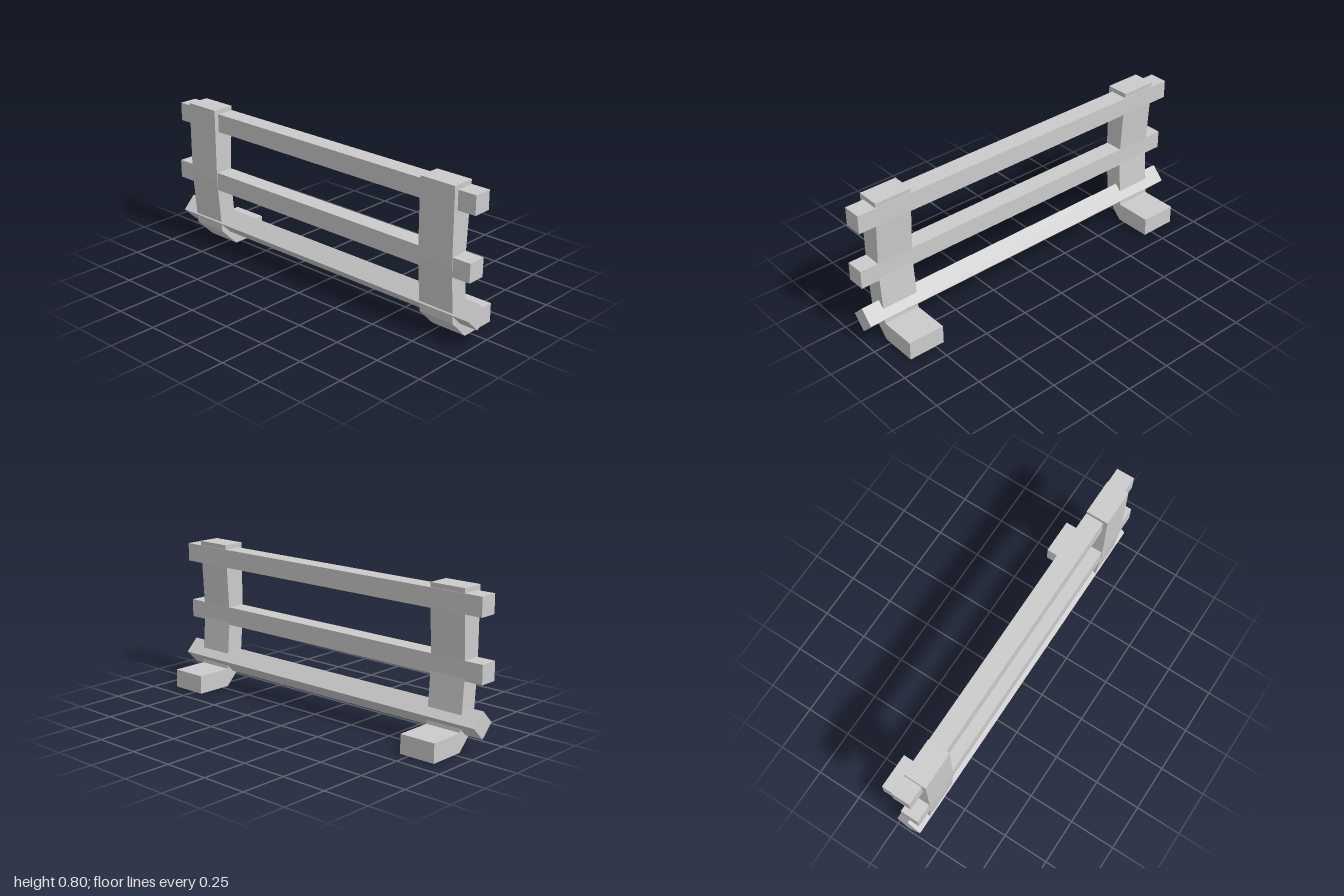
import * as THREE from 'three';

const material = new THREE.MeshStandardMaterial({ color: 0xcccccc, flatShading: true });

// Side outline of an upright with its foot, as [z, y]
const outline = [
  [-0.162, 0], [0.038, 0], [0.138, 0.1], [0.162, 0.4], [0.162, 0.8],
  [0.04, 0.8], [0.0625, 0.4], [0.038, 0.1], [-0.162, 0.1],
];

function makeUpright(name, x) {
  const shape = new THREE.Shape(outline.map(([z, y]) => new THREE.Vector2(z, y)));
  const width = 0.2;
  const geometry = new THREE.ExtrudeGeometry(shape, { depth: width, bevelEnabled: false });
  geometry.translate(0, 0, -width / 2);
  geometry.rotateY(-Math.PI / 2); // outline across z, width along x
  const mesh = new THREE.Mesh(geometry, material);
  mesh.name = name;
  mesh.position.x = x;
  return mesh;
}

function makeRail(name, y, z, tilt = 0) {
  const mesh = new THREE.Mesh(new THREE.BoxGeometry(2, 0.099, 0.099), material);
  mesh.name = name;
  mesh.position.set(0, y, z);
  mesh.rotation.x = tilt;
  return mesh;
}

export function createModel() {
  const group = new THREE.Group();
  group.name = 'railFence';

  // Two bent uprights with rearward feet
  group.add(makeUpright('leftUpright', 0.8), makeUpright('rightUpright', -0.8));

  // Three square rails, the lowest turned on its edge
  group.add(
    makeRail('topRail', 0.726, 0.088),
    makeRail('middleRail', 0.4, 0.109),
    makeRail('bottomRail', 0.15, 0.079, Math.PI / 4),
  );
  return group;
}
